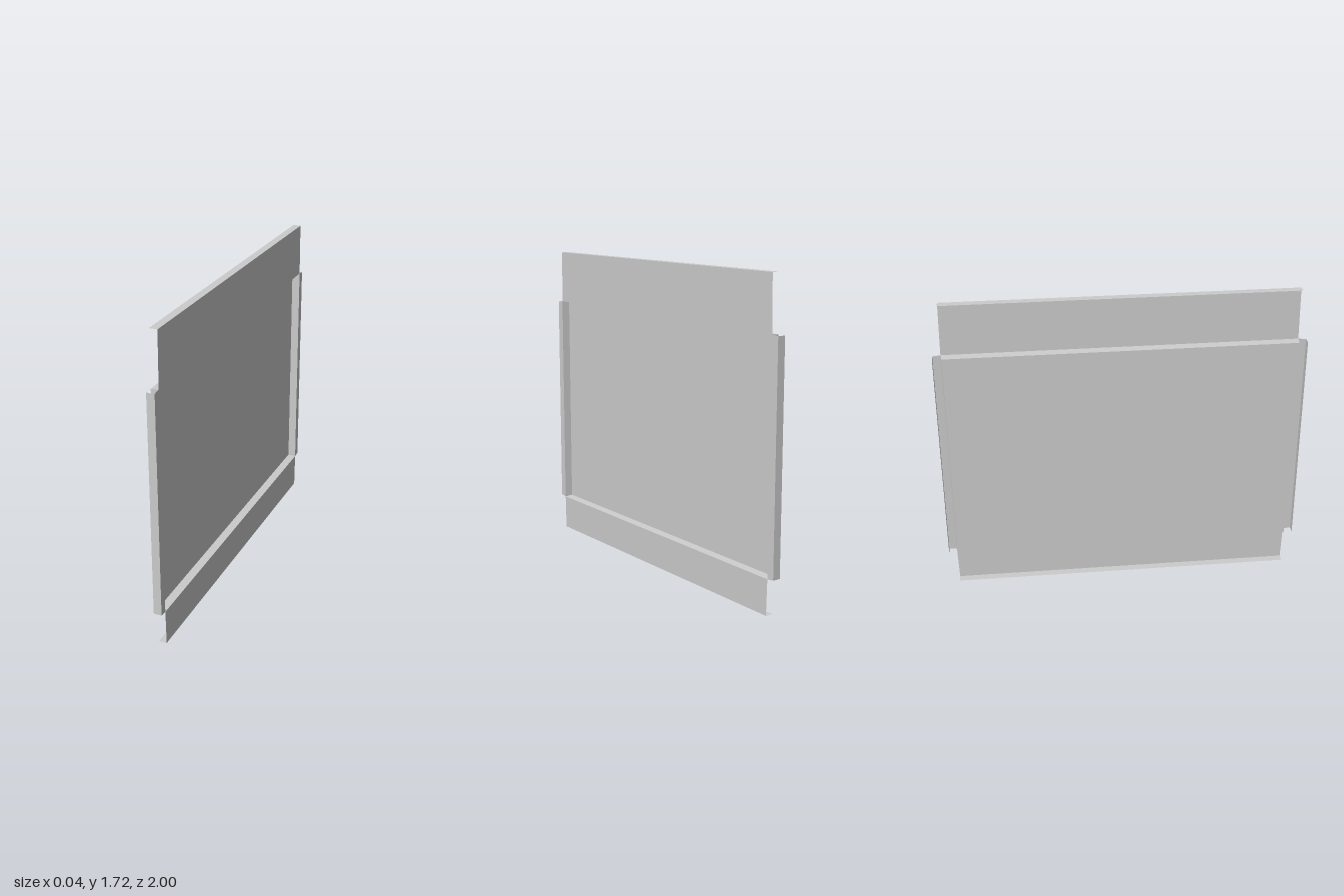
import * as THREE from 'three';

export function createModel() {
  const group = new THREE.Group();
  group.name = 'foldedSheetPanel';
  const material = new THREE.MeshStandardMaterial({
    color: 0xcccccc, side: THREE.DoubleSide, flatShading: true,
  });

  const X = 0.022;              // half depth of the folds
  const Z = 0.952;              // half width of the recessed panel
  const Y0 = 0.2, Y1 = 1.42;    // bottom and top of the recessed panel
  const m = 0.005;              // small mitre where neighbouring flanges meet

  // One flat sheet from four corners [x, y, z], wound anticlockwise from its front.
  function sheet(name, a, b, c, d) {
    const geometry = new THREE.BufferGeometry();
    geometry.setAttribute('position', new THREE.Float32BufferAttribute([a, b, c, d].flat(), 3));
    geometry.setIndex([0, 1, 2, 0, 2, 3]);
    geometry.computeVertexNormals();
    const mesh = new THREE.Mesh(geometry, material);
    mesh.name = name;
    group.add(mesh);
  }

  // Recessed main panel
  sheet('mainPanel', [-X, Y0, Z], [-X, Y0, -Z], [-X, Y1, -Z], [-X, Y1, Z]);

  // Each edge folds out as a wall, across as a flange, and back as a lip.
  // Rows hold the two [y, z] ends of the panel edge, flange root and flange rim.
  const edges = [
    ['top', [[Y1, Z], [Y1, -Z]], [[Y1 + m, Z + m], [Y1 + m, -Z - m]], [[1.72, Z], [1.72, -Z]]],
    ['bottom', [[Y0, -Z], [Y0, Z]], [[Y0 - m, -Z - m], [Y0 - m, Z + m]], [[0, -Z], [0, Z]]],
    ['front', [[Y0, Z], [Y1, Z]], [[Y0 - m, Z + m], [Y1 + m, Z + m]], [[Y0, 1], [Y1, 1]]],
    ['back', [[Y1, -Z], [Y0, -Z]], [[Y1 + m, -Z - m], [Y0 - m, -Z - m]], [[Y1, -1], [Y0, -1]]],
  ];
  for (const [name, [a, b], [c, d], [e, f]] of edges) {
    sheet(name + 'Wall', [-X, ...a], [-X, ...b], [X, ...d], [X, ...c]);
    sheet(name + 'Flange', [X, ...c], [X, ...d], [X, ...f], [X, ...e]);
    sheet(name + 'Lip', [X, ...e], [X, ...f], [-X, ...f], [-X, ...e]);
  }
  return group;
}
